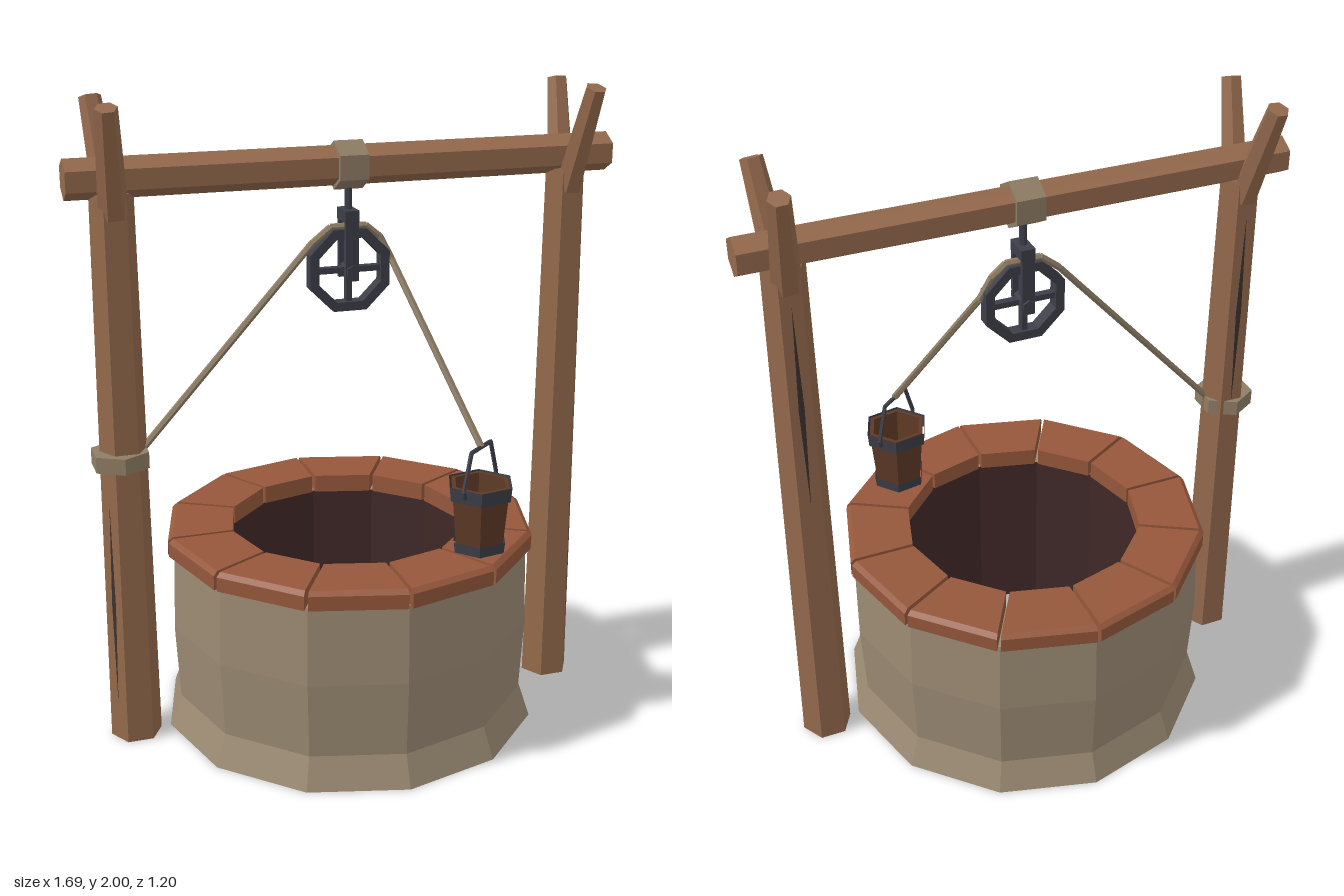
import * as THREE from 'three';

const mat = (name, color) => {
  const m = new THREE.MeshStandardMaterial({ color, flatShading: true });
  m.name = name;
  return m;
};
const V = (x, y, z) => new THREE.Vector3(x, y, z);

export function createModel() {
  const wood = mat('wood', 0x94694c);
  const brick = mat('brick', 0x95573b);
  const stone = mat('stone', 0x9b8a73);
  const shaft = mat('dark shaft', 0x402828);
  const rope = mat('rope', 0x8f7d65);
  const metal = mat('iron', 0x3d3e48);
  const stave = mat('dark wood', 0x5e3a26);
  const crackMat = mat('crack', 0x3a3230);
  stave.side = THREE.DoubleSide;
  metal.side = THREE.DoubleSide;

  const model = new THREE.Group();
  model.name = 'well';
  const add = (name, geo, material, parent = model) => {
    const m = new THREE.Mesh(geo, material);
    m.name = name;
    parent.add(m);
    return m;
  };
  // Tapered prism between two points; turn spins it about its own axis
  const rod = (name, a, b, ra, rb, sides, material, turn = 0, parent = model) => {
    const geo = new THREE.CylinderGeometry(rb, ra, a.distanceTo(b), sides).rotateY(turn);
    const m = add(name, geo, material, parent);
    m.position.copy(a).lerp(b, 0.5);
    m.quaternion.setFromUnitVectors(V(0, 1, 0), b.clone().sub(a).normalize());
    return m;
  };

  // Stone wall and dark inner shaft
  const lathe = pts => new THREE.LatheGeometry(pts.map(p => new THREE.Vector2(...p)), 12);
  add('stoneWall', lathe([[0.387, 0], [0.6, 0], [0.562, 0.1], [0.575, 0.34], [0.567, 0.588], [0.387, 0.588]]), stone);
  add('innerShaft', lathe([[0.387, 0.588], [0.387, 0]]), shaft);

  // Rim bricks: chamfered profile, sides pulled in to a wedge
  const c15 = Math.cos(Math.PI / 12), t15 = Math.tan(Math.PI / 12);
  const profile = new THREE.Shape([[0.38, 0.587], [0.587, 0.587], [0.587, 0.632], [0.572, 0.645], [0.38, 0.645]]
    .map(([r, y]) => new THREE.Vector2(r * c15, y)));
  const brickGeo = new THREE.ExtrudeGeometry(profile, { depth: 1, bevelEnabled: false });
  const bp = brickGeo.attributes.position;
  for (let i = 0; i < bp.count; i++) {
    bp.setZ(i, (bp.getZ(i) > 0.5 ? 1 : -1) * (bp.getX(i) * t15 - 0.006));
  }
  for (let i = 0; i < 12; i++) {
    add('rimBrick', brickGeo, brick).rotation.y = Math.PI / 12 + i * Math.PI / 6;
  }

  // Posts with forked tops and cracks
  const hex = Math.PI / 6;
  for (const s of [-1, 1]) {
    const post = new THREE.Group();
    post.name = s < 0 ? 'rightPost' : 'leftPost';
    model.add(post);
    rod('postTrunk', V(s * 0.71, 0, 0), V(s * 0.71, 1.73, 0), 0.08, 0.065, 6, wood, hex, post);
    for (const f of [-1, 1]) {
      rod('forkBranch', V(s * 0.71, 1.67, f * 0.025), V(s * 0.735, 1.985, f * 0.137), 0.045, 0.033, 6, wood, hex, post);
    }
    for (const [angle, y, ap] of [[s * Math.PI / 3, 0.46, 0.0665], [Math.PI, 1.28, 0.0605]]) {
      const crack = add('crack', new THREE.CircleGeometry(1, 4).scale(0.009, 0.34, 1), crackMat, post);
      crack.position.set(s * 0.71 + Math.sin(angle) * ap, y, Math.cos(angle) * ap);
      crack.rotation.set(-0.0075, angle, 0, 'YXZ');
    }
  }

  // Cross beam and rope wraps
  rod('crossBeam', V(0.845, 1.772, 0), V(-0.845, 1.772, 0), 0.06, 0.06, 6, wood, hex);
  rod('beamWrap', V(0.045, 1.772, 0), V(-0.045, 1.772, 0), 0.073, 0.073, 6, rope, hex);
  rod('postWrap', V(-0.722, 0.905, 0.008), V(-0.722, 0.955, 0.008), 0.092, 0.092, 6, rope);

  // Pulley: octagonal wheel, spokes, axle and hanger
  const pulley = new THREE.Group();
  pulley.name = 'pulley';
  pulley.position.y = 1.455;
  model.add(pulley);
  const octagon = r => Array.from({ length: 8 }, (_, i) => {
    const a = (i + 0.5) * Math.PI / 4;
    return new THREE.Vector2(Math.cos(a) * r, Math.sin(a) * r);
  });
  const rim = new THREE.Shape(octagon(0.136));
  rim.holes.push(new THREE.Path(octagon(0.106)));
  add('wheelRim', new THREE.ExtrudeGeometry(rim, { depth: 0.044, bevelEnabled: false }).translate(0, 0, -0.022), metal, pulley);
  add('wheelSpoke', new THREE.BoxGeometry(0.2, 0.018, 0.024), metal, pulley);
  add('wheelSpoke', new THREE.BoxGeometry(0.018, 0.2, 0.024), metal, pulley);
  rod('axle', V(0, 0, -0.05), V(0, 0, 0.05), 0.02, 0.02, 6, metal, 0, pulley);
  for (const f of [-1, 1]) {
    add('hangerPlate', new THREE.BoxGeometry(0.04, 0.19, 0.014), metal, pulley).position.set(0, 0.065, f * 0.035);
  }
  add('hangerBlock', new THREE.BoxGeometry(0.044, 0.035, 0.084), metal, pulley).position.y = 0.167;
  rod('hangerRod', V(0, 0.17, 0), V(0, 0.26, 0), 0.012, 0.012, 6, metal, 0, pulley);

  // Rope from the post, over the wheel, to the bucket
  const path = [V(-0.65, 0.95, 0), V(-0.115, 1.54, 0), V(-0.055, 1.587, 0), V(0.055, 1.587, 0),
    V(0.1, 1.55, 0), V(0.135, 1.48, 0.01), V(0.3, 0.97, 0.36)];
  for (let i = 1; i < path.length; i++) {
    rod('rope', path[i - 1], path[i], 0.011, 0.011, 6, rope);
  }

  // Bucket with iron bands and bail
  const bucket = new THREE.Group();
  bucket.name = 'bucket';
  bucket.position.set(0.3, 0.645, 0.36);
  bucket.rotation.y = 40 * Math.PI / 180;
  model.add(bucket);
  const shell = (name, r0, r1, y0, y1, material) =>
    add(name, new THREE.CylinderGeometry(r1, r0, y1 - y0, 6, 1, true).translate(0, (y0 + y1) / 2, 0), material, bucket);
  shell('bucketBody', 0.079, 0.099, 0.005, 0.212, stave);
  shell('bucketInside', 0.068, 0.085, 0.02, 0.212, stave);
  add('bucketRim', new THREE.RingGeometry(0.085, 0.099, 6, 1, Math.PI / 6).rotateX(-Math.PI / 2).translate(0, 0.212, 0), stave, bucket);
  add('bucketBase', new THREE.CylinderGeometry(0.079, 0.079, 0.015, 6).translate(0, 0.0125, 0), stave, bucket);
  shell('lowerBand', 0.085, 0.089, 0.001, 0.035, metal);
  shell('upperBand', 0.103, 0.107, 0.17, 0.215, metal);
  const bail = [V(-0.096, 0.19, 0), V(-0.105, 0.215, 0), V(-0.062, 0.325, 0), V(0.062, 0.325, 0), V(0.105, 0.215, 0), V(0.096, 0.19, 0)];
  for (let i = 1; i < bail.length; i++) {
    rod('bail', bail[i - 1], bail[i], 0.007, 0.007, 5, metal, 0, bucket);
  }

  return model;
}
